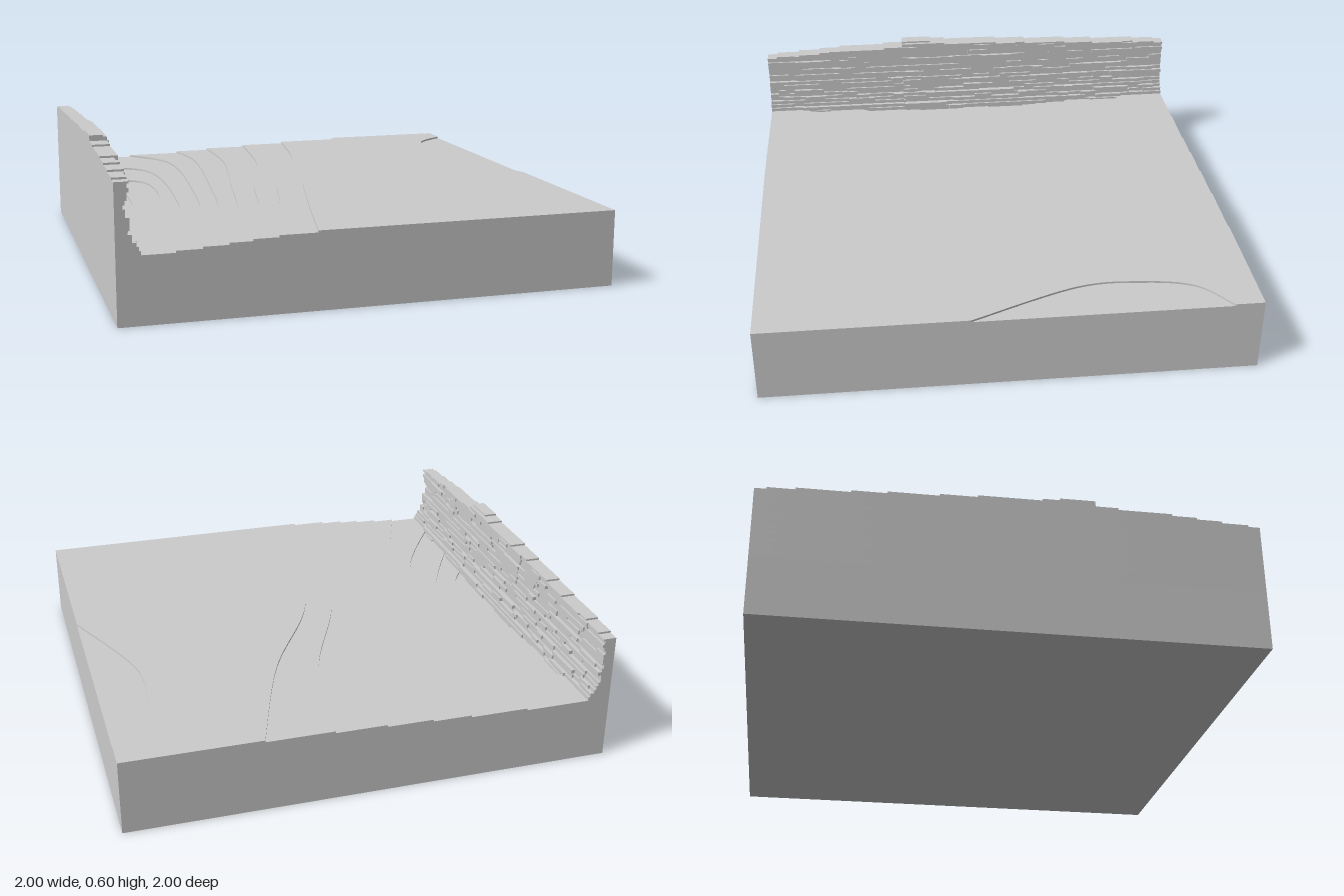
import * as THREE from 'three';
import { mergeGeometries } from 'three/addons/utils/BufferGeometryUtils.js';

const STEP = 1 / 128; // height of one terrace
const TOP = 0.3125;   // height of the highest terrace

// Edge of each terrace as [x, z] points, highest first
const contours = [
  [[0.44, -1], [0.25, -0.46], [0, 0], [-0.11, 0.4], [-0.24, 1]],
  [[0.16, -1], [0.08, -0.5], [-0.13, 0], [-0.24, 0.45], [-0.39, 1]],
  [[-0.05, -1], [-0.1, -0.5], [-0.24, 0], [-0.33, 0.45], [-0.49, 1]],
  [[-0.24, -1], [-0.24, -0.6], [-0.34, 0], [-0.42, 0.45], [-0.58, 1]],
  [[-0.4, -1], [-0.36, -0.7], [-0.43, 0], [-0.5, 0.45], [-0.68, 1]],
  [[-0.64, -1], [-0.48, -0.72], [-0.51, 0], [-0.58, 0.45], [-0.78, 1]],
  [[-1, -0.78], [-0.8, -0.74], [-0.61, -0.57], [-0.6, 0], [-0.68, 0.45], [-1, 0.97]],
  [[-1, -0.52], [-0.8, -0.46], [-0.66, -0.32], [-0.7, 0.15], [-1, 0.72]],
  [[-1, -0.36], [-0.85, -0.32], [-0.79, -0.18], [-0.82, 0.2], [-1, 0.46]],
];
// Shallow dip at the right edge of the highest terrace
const dip = [[1, 0.16], [0.82, -0.28], [0.81, -0.56], [0.86, -0.76], [1, -0.88]];

// Height of the cliff crest along z, and its face position by height
const crest = [[-1, 0.54], [-0.75, 0.555], [-0.4, 0.57], [0.1, 0.59], [0.25, 0.6], [0.329, 0.602],
  [0.331, 0.578], [0.6, 0.568], [0.8, 0.555], [1, 0.54]];
const face = [[0.24, -0.892], [0.28, -0.9], [0.3, -0.915], [0.33, -0.935], [0.37, -0.94], [0.42, -0.948],
  [0.47, -0.952], [0.51, -0.945], [0.54, -0.935], [0.58, -0.935], [0.61, -0.95]];

function seeded(seed) {
  return () => {
    seed = (seed * 16807) % 2147483647;
    return seed / 2147483647;
  };
}

function lookup(table, t) {
  for (let i = 1; i < table.length; i++) {
    const [a, va] = table[i - 1], [b, vb] = table[i];
    if (t <= b) return va + (vb - va) * Math.max(0, (t - a) / (b - a));
  }
  return table[table.length - 1][1];
}

const snap = (v) => Math.round(v / STEP) * STEP;

// Smooth line through [x, z] points, in shape coordinates
function smooth(points) {
  return new THREE.SplineCurve(points.map(([x, z]) => new THREE.Vector2(x, -z))).getPoints(48)
    .map((p) => new THREE.Vector2(THREE.MathUtils.clamp(p.x, -1, 1), THREE.MathUtils.clamp(p.y, -1, 1)));
}

function terrace(points, withDip) {
  const outline = smooth(points);
  if (points[0][0] === -1) {
    outline.unshift(new THREE.Vector2(-1, 1));
    outline.push(new THREE.Vector2(-1, -1));
  }
  outline.push(new THREE.Vector2(1, -1));
  if (withDip) outline.push(...smooth(dip));
  outline.push(new THREE.Vector2(1, 1));
  return new THREE.ExtrudeGeometry(new THREE.Shape(outline), { depth: STEP, bevelEnabled: false })
    .rotateX(-Math.PI / 2);
}

// Stacked rock strata, each broken into blocks of uneven length and depth
function cliffGeometry() {
  const random = seeded(4127);
  const blocks = [];
  for (let y = 0.234375; y < 0.61; y += 2 * STEP) {
    const stratum = (random() - 0.5) * 0.012;
    for (let z = -1; z < 1;) {
      let end = Math.min(1, snap(z + 0.04 + random() * 0.12));
      if (z < 0.33 && end > 0.33) end = 0.33;
      if (1 - end < 0.02) end = 1;
      const mid = (z + end) / 2;
      const top = Math.min(y + 2 * STEP, snap(lookup(crest, mid)));
      if (top > y + 0.001) {
        const bulge = 0.012 * Math.cos(mid * 1.6) - 0.008;
        const x = snap(lookup(face, y + STEP) + stratum + bulge + (random() - 0.5) * 0.012);
        const depth = x + 1;
        blocks.push(new THREE.BoxGeometry(depth, top - y, end - z)
          .translate(-1 + depth / 2, (y + top) / 2, mid));
      }
      z = end;
    }
  }
  return mergeGeometries(blocks);
}

export function createModel() {
  const model = new THREE.Group();
  model.name = 'terrainBlock';
  const stone = new THREE.MeshStandardMaterial({ color: 0xcccccc });
  stone.name = 'stone grey';

  const add = (name, geometry, parent = model) => {
    const mesh = new THREE.Mesh(geometry, stone);
    mesh.name = name;
    parent.add(mesh);
    return mesh;
  };

  // Solid base up to the floor of the hollow
  const floor = TOP - contours.length * STEP;
  add('base', new THREE.BoxGeometry(2, floor, 2).translate(0, floor / 2, 0));

  // Ground rising in thin terraces away from the cliff
  const ground = new THREE.Group();
  ground.name = 'ground';
  model.add(ground);
  contours.forEach((points, i) => {
    add('terrace', terrace(points, i === 0), ground).position.y = TOP - (i + 1) * STEP;
  });

  // Cliff along the side
  add('cliff', cliffGeometry());
  return model;
}
